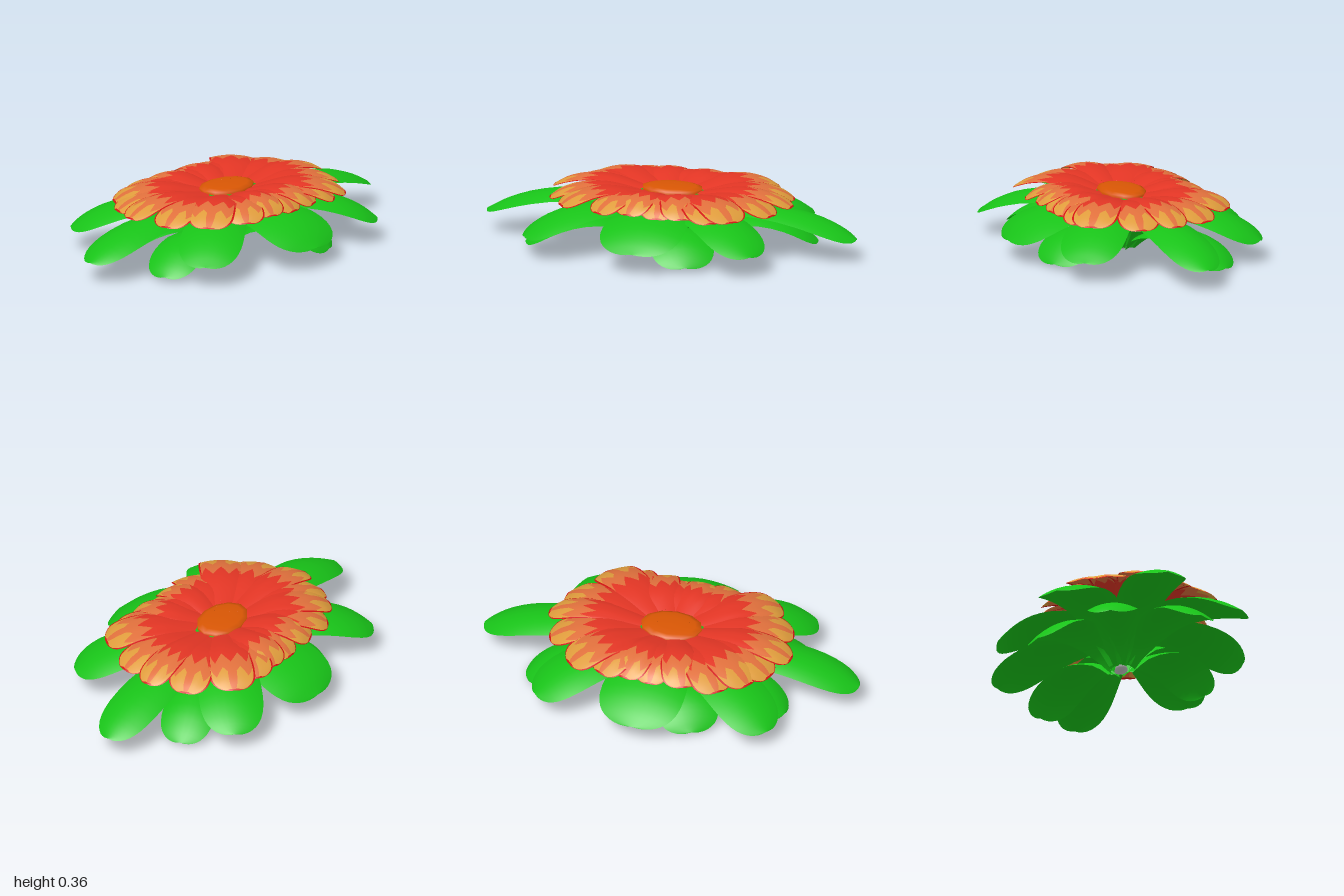
import * as THREE from 'three';
import { mergeGeometries } from 'three/addons/utils/BufferGeometryUtils.js';

const mat = (name, color) => {
  const m = new THREE.MeshStandardMaterial({ color, side: THREE.DoubleSide });
  m.name = name;
  return m;
};

// Smooth petal or leaf surface ending above the point tip = [x, z]. The profile gives
// [fraction of length, y]; shift bends the rows and band picks each cell's material.
function blade({ profile, tip, halfWidth, widest, base, droop, lift = 0,
  rows, cols, shift = t => t, band = () => 0 }) {
  const curve = new THREE.CatmullRomCurve3(profile.map(([r, y]) => new THREE.Vector3(r, y, 0)));
  const length = Math.hypot(...tip);
  const c = tip[0] / length, s = tip[1] / length;
  const pos = [], buckets = [[], [], [], []];
  for (let i = 0; i <= rows; i++) {
    for (let j = 0; j <= cols; j++) {
      // columns crowd toward the margins, rows toward the tip
      const v = Math.sin((j / cols - 0.5) * Math.PI);
      const u = Math.sin(shift(i / rows, j) * Math.PI / 2);
      const p = curve.getPoint(u);
      const k = u < widest
        ? base + (1 - base) * Math.sin((u / widest) * Math.PI / 2)
        : Math.sqrt(Math.max(0, 1 - ((u - widest) / (1 - widest)) ** 2));
      const r = p.x * length, w = halfWidth * k * v;
      pos.push(r * c - w * s, p.y + lift - droop * k * v * v, r * s + w * c);
    }
  }
  for (let i = 0; i < rows; i++) {
    for (let j = 0; j < cols; j++) {
      const a = i * (cols + 1) + j, b = a + cols + 1;
      buckets[band(i, j)].push(a, a + 1, b, a + 1, b + 1, b);
    }
  }
  const g = new THREE.BufferGeometry();
  g.setAttribute('position', new THREE.Float32BufferAttribute(pos, 3));
  g.setIndex(buckets.flat());
  let start = 0;
  buckets.forEach((b, k) => {
    if (b.length) g.addGroup(start, b.length, k);
    start += b.length;
  });
  g.computeVertexNormals();
  return g;
}

export function createModel() {
  const group = new THREE.Group();
  const green = mat('leafGreen', 0x18c318);
  const red = mat('petalRed', 0xe23524);
  const orange = mat('petalOrange', 0xe0703c);
  const amber = mat('petalAmber', 0xdf9c3c);
  const rim = mat('petalRim', 0xd01212);
  const heart = mat('centreOrange', 0xd85604);
  const grey = mat('stemGrey', 0xc4c4c4);

  const add = (name, geometry, material) => {
    const m = new THREE.Mesh(geometry, material);
    m.name = name;
    group.add(m);
    return m;
  };

  // two tiers of arching leaves: [tip x, tip z, half width]
  const leaf = { widest: 0.66, base: 0.25, droop: 0.04, rows: 18, cols: 12 };
  const upper = [[0.07, 0.015], [0.14, 0.13], [0.31, 0.235], [0.52, 0.255], [0.74, 0.222], [0.89, 0.17], [1, 0.11]];
  const lower = [[0.09, 0.006], [0.19, 0.085], [0.39, 0.15], [0.58, 0.168], [0.78, 0.135], [0.91, 0.08], [1, 0.022]];
  const addLeaves = (name, profile, list) => list.forEach(([x, z, halfWidth]) =>
    add(name, blade({ ...leaf, profile, tip: [x, z], halfWidth }), green));
  addLeaves('upperLeaf', upper, [
    [1, 0, 0.142], [0.59, 0.5, 0.165], [0, 0.645, 0.22], [-0.64, 0.48, 0.165],
    [-1, 0, 0.142], [-0.64, -0.5, 0.165], [0.04, -0.645, 0.22], [0.59, -0.51, 0.165],
  ]);
  addLeaves('lowerLeaf', lower, [
    [0.71, -0.25, 0.14], [0.24, 0.5, 0.165], [-0.71, 0.25, 0.14], [-0.24, -0.5, 0.165], [-0.66, -0.22, 0.13],
  ]);

  // petals by tip [x, z], every second one tucked underneath
  const petals = [
    [0.655, 0], [0.605, 0.18], [0.46, 0.4], [0.36, 0.42], [0.2, 0.43], [0.06, 0.43], [-0.1, 0.43],
    [-0.27, 0.41], [-0.49, 0.35], [-0.61, 0.16], [-0.655, -0.06], [-0.585, -0.22], [-0.5, -0.33],
    [-0.36, -0.42], [-0.18, -0.44], [0, -0.445], [0.14, -0.44], [0.27, -0.425], [0.44, -0.4], [0.6, -0.2],
  ];
  const petalProfile = [[0.16, 0.285], [0.32, 0.308], [0.54, 0.333], [0.745, 0.325], [0.9, 0.295], [1, 0.256]];
  const cols = 16, rows = 20, baseRows = 7, midRows = 10;
  const jag = [0, 0.5, -1, 0, 1, 0, -1, 0, 1];
  petals.forEach((tip, n) => add('petal', blade({
    profile: petalProfile, tip, widest: 0.72, base: 0.4, droop: 0.018, rows, cols,
    // diagonal petals are the broadest
    halfWidth: 0.09 + 0.16 * Math.abs(tip[0] * tip[1]), lift: n % 2 ? -0.009 : 0,
    // zigzag the colour borders, fading out toward both ends
    shift: (t, j) => t + 0.055 * jag[Math.min(j, cols - j)] * Math.sin(Math.PI * t) ** 2,
    band: (i, j) => {
      if (i < baseRows) return 0;
      if (i >= rows - 3 || j < 2 || j > cols - 3) return 3;
      return i < midRows || j === 7 || j === 8 ? 1 : 2;
    },
  }), [red, orange, amber, rim]));

  // round parts, widened sideways like the bloom
  const lathe = (name, points, sides, material) => {
    const g = new THREE.LatheGeometry(points.map(([r, y]) => new THREE.Vector2(r, y)), sides);
    g.scale(1.4, 1, 1);
    return add(name, g, material);
  };
  lathe('calyx', [[0.02, 0.17], [0.09, 0.2], [0.13, 0.235], [0.14, 0.265], [0.12, 0.29], [0.07, 0.295]], 32, green);
  lathe('flowerCentre', [[0.115, 0.288], [0.115, 0.306], [0.092, 0.315], [0.05, 0.319], [0, 0.32]], 12, heart)
    .position.z = -0.008;

  // stem: grey cut end with a green core above
  lathe('stemEnd', [[0, 0], [0.034, 0], [0.024, 0.03], [0.016, 0.1]], 12, grey);
  lathe('stem', [[0.016, 0.1], [0.016, 0.14], [0.025, 0.19]], 12, green);

  // fine pollen specks hovering above the centre
  const specks = [];
  for (let i = 0; i < 36; i++) {
    const a = i * 2.39996, r = 0.09 * Math.sqrt((i + 0.5) / 36);
    const g = new THREE.OctahedronGeometry(0.0008);
    g.translate(r * Math.cos(a) * 1.4, 0.332 + 0.023 * ((i * 7) % 11) / 10, r * Math.sin(a));
    specks.push(g);
  }
  add('pollen', mergeGeometries(specks), heart);

  return group;
}
